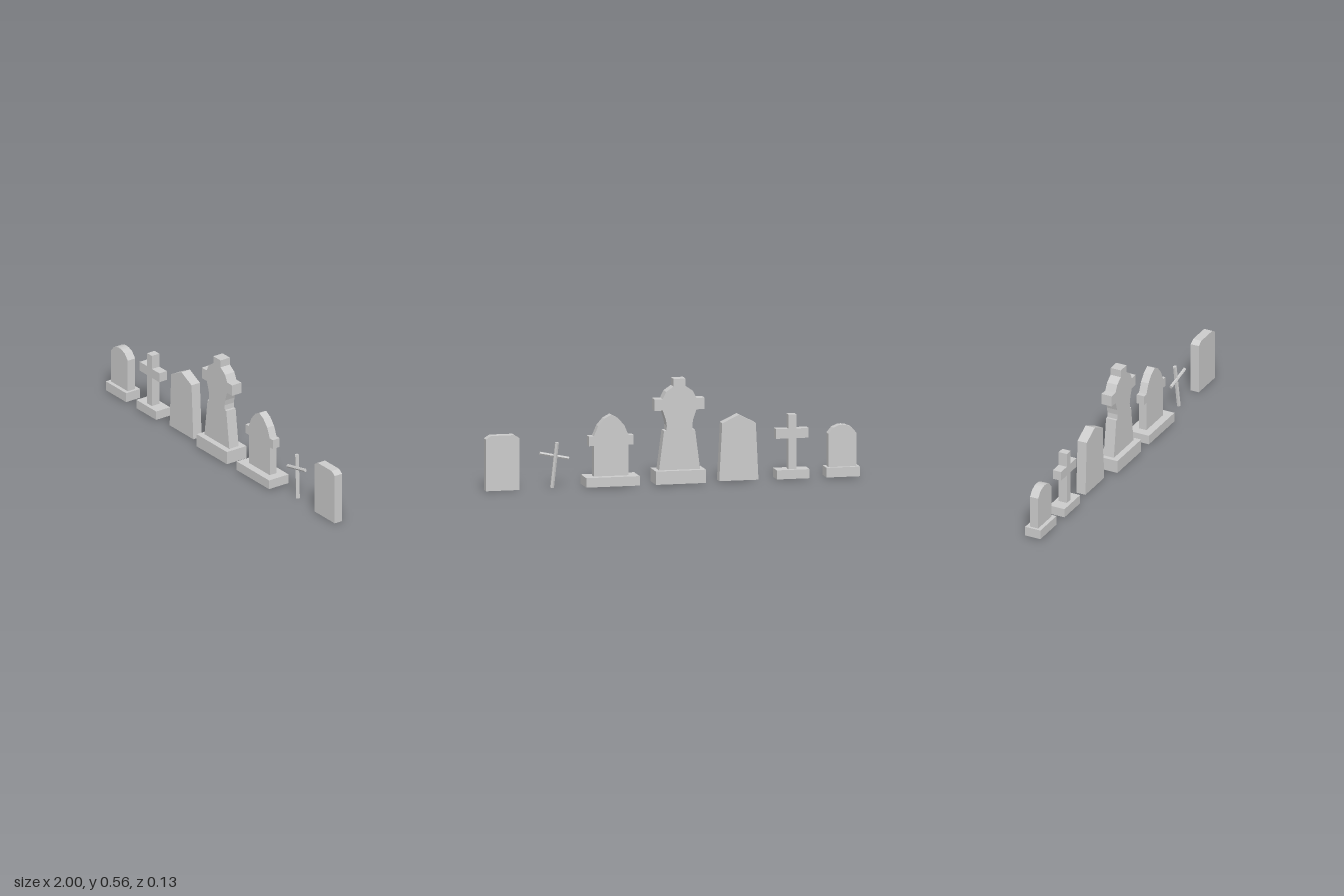
import * as THREE from 'three';

const material = new THREE.MeshStandardMaterial({ color: 0xcccccc, flatShading: true, side: THREE.DoubleSide });

// Slab from an outline, left hollow underneath: triangles lying on its lowest level are dropped.
function slab(name, points, halfDepth) {
  const shape = new THREE.Shape(points.map(([x, y]) => new THREE.Vector2(x, y)));
  const full = new THREE.ExtrudeGeometry(shape, { depth: halfDepth * 2, bevelEnabled: false });
  full.translate(0, 0, -halfDepth);
  const floor = Math.min(...points.map((p) => p[1]));
  const src = full.attributes.position;
  const kept = [];
  for (let i = 0; i < src.count; i += 3) {
    const onFloor = [0, 1, 2].every((k) => Math.abs(src.getY(i + k) - floor) < 1e-5);
    if (onFloor) continue;
    for (let k = 0; k < 3; k++) kept.push(src.getX(i + k), src.getY(i + k), src.getZ(i + k));
  }
  const geometry = new THREE.BufferGeometry();
  geometry.setAttribute('position', new THREE.Float32BufferAttribute(kept, 3));
  geometry.computeVertexNormals();
  const mesh = new THREE.Mesh(geometry, material);
  mesh.name = name;
  return mesh;
}

// Mirrors a half outline, given bottom to top as [half width, y].
function mirrored(half) {
  const left = half.filter(([x]) => x > 0).reverse().map(([x, y]) => [-x, y]);
  return [...half, ...left];
}

const plinth = (halfWidth, top, halfDepth) =>
  slab('plinth', mirrored([[halfWidth, 0.005], [halfWidth, top]]), halfDepth);

function marker(name, x, ...parts) {
  const group = new THREE.Group();
  group.name = name;
  group.position.x = x;
  group.add(...parts);
  return group;
}

// Round stick between two points.
function stick(name, from, to, radius) {
  const a = new THREE.Vector3(...from);
  const b = new THREE.Vector3(...to);
  const dir = b.clone().sub(a);
  const mesh = new THREE.Mesh(new THREE.CylinderGeometry(radius, radius, dir.length(), 6), material);
  mesh.position.copy(a).add(b).multiplyScalar(0.5);
  mesh.quaternion.setFromUnitVectors(new THREE.Vector3(0, 1, 0), dir.normalize());
  mesh.name = name;
  return mesh;
}

export function createModel() {
  const model = new THREE.Group();
  model.name = 'gravestones';

  // Small round-topped headstone
  model.add(marker('roundHeadstone', -0.91,
    plinth(0.09, 0.056, 0.045),
    slab('stone', mirrored([[0.075, 0.056], [0.075, 0.232], [0.049, 0.263], [0.02, 0.275], [0, 0.277]]), 0.024)));

  // Stone cross
  model.add(marker('stoneCross', -0.642,
    plinth(0.088, 0.053, 0.045),
    slab('cross', mirrored([[0.021, 0.053], [0.021, 0.216], [0.087, 0.216], [0.087, 0.267],
      [0.021, 0.267], [0.021, 0.342]]), 0.024)));

  // Tapered headstone with a pointed top
  model.add(marker('pointedHeadstone', -0.355,
    slab('stone', [[0.105, 0.005], [0.089, 0.31], [0, 0.352], [-0.091, 0.305], [-0.105, 0.005]], 0.027)));

  // Tall monument with arms and cap
  model.add(marker('monument', -0.037,
    plinth(0.134, 0.075, 0.063),
    slab('stone', mirrored([[0.11, 0.075], [0.083, 0.283], [0.07, 0.283], [0.068, 0.31], [0.073, 0.34],
      [0.09, 0.39], [0.134, 0.39], [0.134, 0.45], [0.091, 0.45], [0.072, 0.488],
      [0.032, 0.515], [0.032, 0.555]]), 0.03)));

  // Arched headstone with side lugs
  model.add(marker('archedHeadstone', 0.327,
    plinth(0.143, 0.055, 0.063),
    slab('stone', mirrored([[0.093, 0.055], [0.093, 0.216], [0.12, 0.216], [0.12, 0.267], [0.093, 0.267],
      [0.07, 0.32], [0.037, 0.358], [0, 0.378]]), 0.022)));

  // Leaning cross of two sticks
  model.add(marker('stickCross', 0.627,
    stick('upright', [0.012, 0.002, 0], [-0.012, 0.241, -0.011], 0.011),
    stick('crossbar', [-0.078, 0.153, 0], [0.078, 0.186, 0], 0.009)));

  // Plain headstone with clipped corners
  model.add(marker('plainHeadstone', 0.908,
    slab('stone', mirrored([[0.09, 0], [0.09, 0.273], [0.062, 0.291]]), 0.024)));

  return model;
}
